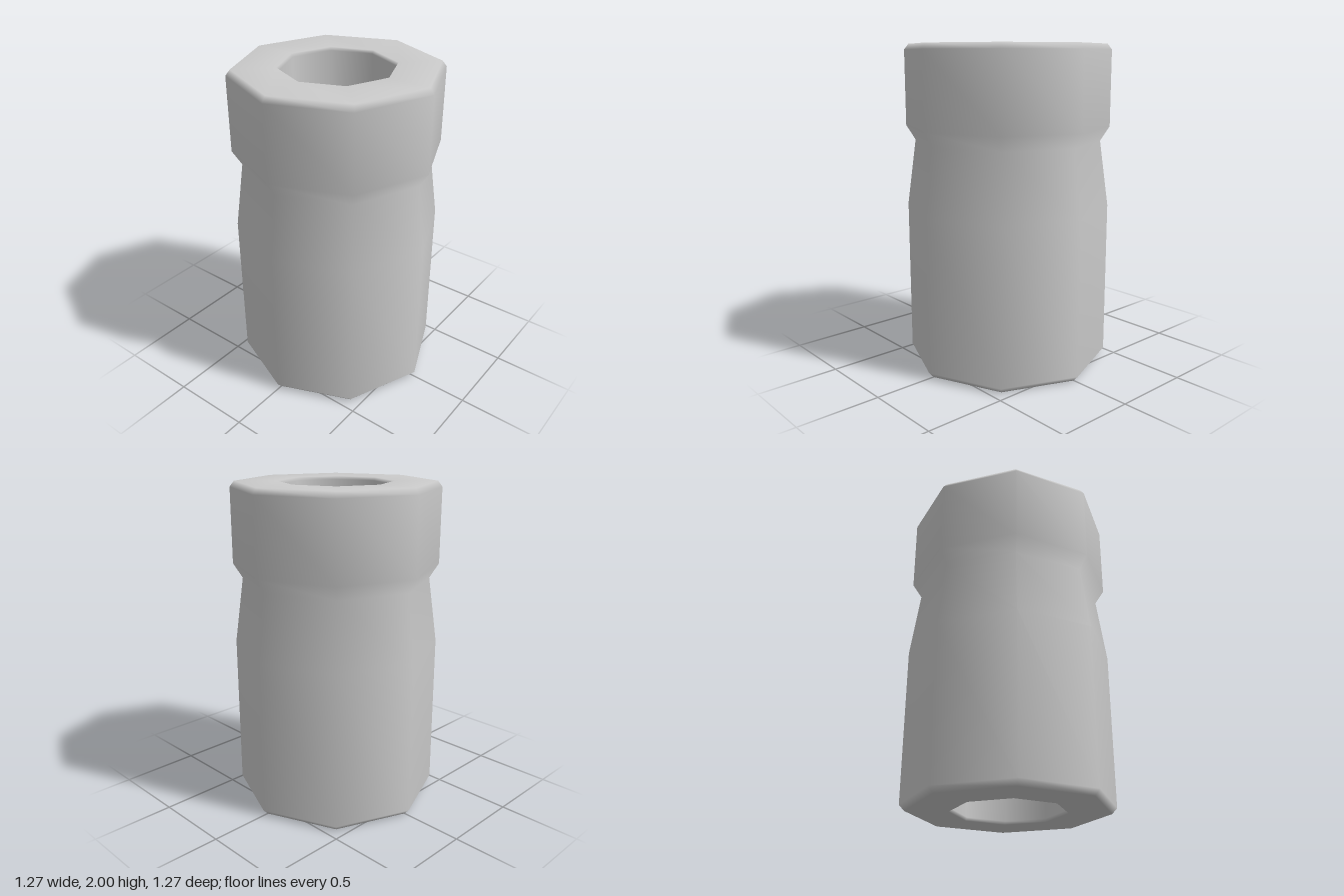
import * as THREE from 'three';

export function createModel() {
  const group = new THREE.Group();
  const material = new THREE.MeshStandardMaterial({ color: 0xcccccc });

  // Closed wall section [radius, height]: up the outside, over the rim, down the bore.
  // The seam sits midway down the bore so both rims shade smoothly.
  const section = [
    [0.34, 1.0], [0.34, 0.02], [0.35, 0], // bore to lower rim
    [0.605, 0], [0.637, 0.035], // lower bevel
    [0.637, 1.0], [0.58, 1.41], [0.637, 1.5], // body, tapered neck, collar
    [0.637, 1.965], [0.61, 2], // upper bevel
    [0.35, 2], [0.34, 1.98], [0.34, 1.0], // upper rim back to bore
  ].map(([r, y]) => new THREE.Vector2(r, y));

  // Eight-sided hollow sleeve, corners on the x and z axes
  const sleeve = new THREE.Mesh(new THREE.LatheGeometry(section, 8), material);
  sleeve.name = 'sleeve';
  group.add(sleeve);
  return group;
}
